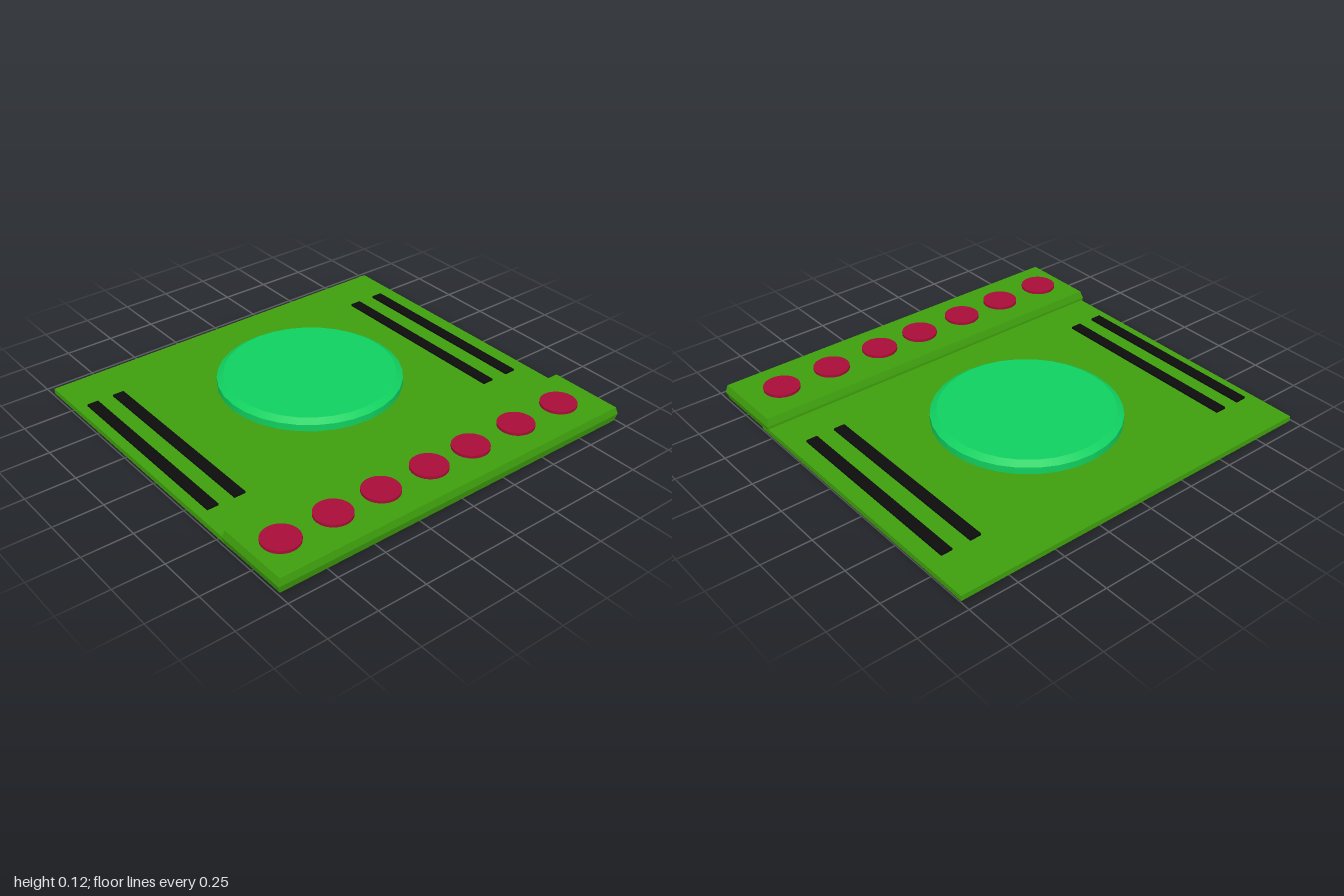
import * as THREE from 'three';

const mat = (color, extra = {}) => {
  const m = new THREE.MeshStandardMaterial(extra);
  m.color.set(color);
  return m;
};

export function createModel() {
  const group = new THREE.Group();
  const green = mat(0x3f9f0d, { flatShading: true });
  const mint = mat(0x10d060);
  const red = mat(0xa80c38);
  const black = mat(0x0c0c0c);

  const add = (name, geometry, material, x, y, z) => {
    const mesh = new THREE.Mesh(geometry, material);
    mesh.name = name;
    mesh.position.set(x, y, z);
    group.add(mesh);
    return mesh;
  };

  // Thin base plate, ending under the raised strip
  const plateTop = 0.027;
  add('basePlate', new THREE.BoxGeometry(1.54, plateTop, 1.984), green, -0.172, plateTop / 2, -0.003);

  // Raised strip: a box with its side walls bulging at mid height
  const levels = [
    { y: 0, left: 0.54, right: 0.93, z: 0.988 },
    { y: 0.04, left: 0.54, right: 0.94, z: 1 },
    { y: 0.077, left: 0.552, right: 0.933, z: 0.989 },
  ];
  const strip = new THREE.BoxGeometry(2, 2, 2, 1, 2, 1);
  const p = strip.attributes.position;
  for (let i = 0; i < p.count; i++) {
    const l = levels[Math.round(p.getY(i)) + 1];
    p.setXYZ(i, p.getX(i) < 0 ? l.left : l.right, l.y, Math.sign(p.getZ(i)) * l.z);
  }
  strip.computeVertexNormals();
  add('raisedStrip', strip, green, 0, 0, 0);

  // Row of round buttons along the strip
  const button = new THREE.CylinderGeometry(0.09, 0.09, 0.02, 32);
  for (const z of [-0.795, -0.509, -0.22, 0.032, 0.31, 0.572, 0.845]) {
    add('button', button, red, 0.744, 0.081, z);
  }

  // Pairs of dark bars near the front and back edges
  const bar = new THREE.BoxGeometry(1.04, 0.016, 0.058);
  for (const z of [-0.882, -0.731, 0.768, 0.909]) {
    add('bar', bar, black, -0.18, 0.029, z);
  }

  // Large bevelled disc; doubled profile points keep its edges sharp
  const disc = new THREE.Group();
  disc.name = 'disc';
  disc.position.set(-0.184, 0, -0.018);
  const rings = [[0, 0.043], [0.425, 0.043], [0.458, 0.063], [0.458, 0.098], [0.425, 0.118], [0, 0.118]];
  for (let i = 0; i < rings.length - 1; i++) {
    const band = [rings[i], rings[i + 1]].map(([r, y]) => new THREE.Vector2(r, y));
    const mesh = new THREE.Mesh(new THREE.LatheGeometry(band, 32), mint);
    mesh.name = ['discBase', 'discLowerBevel', 'discRim', 'discUpperBevel', 'discTop'][i];
    disc.add(mesh);
  }
  group.add(disc);

  return group;
}
